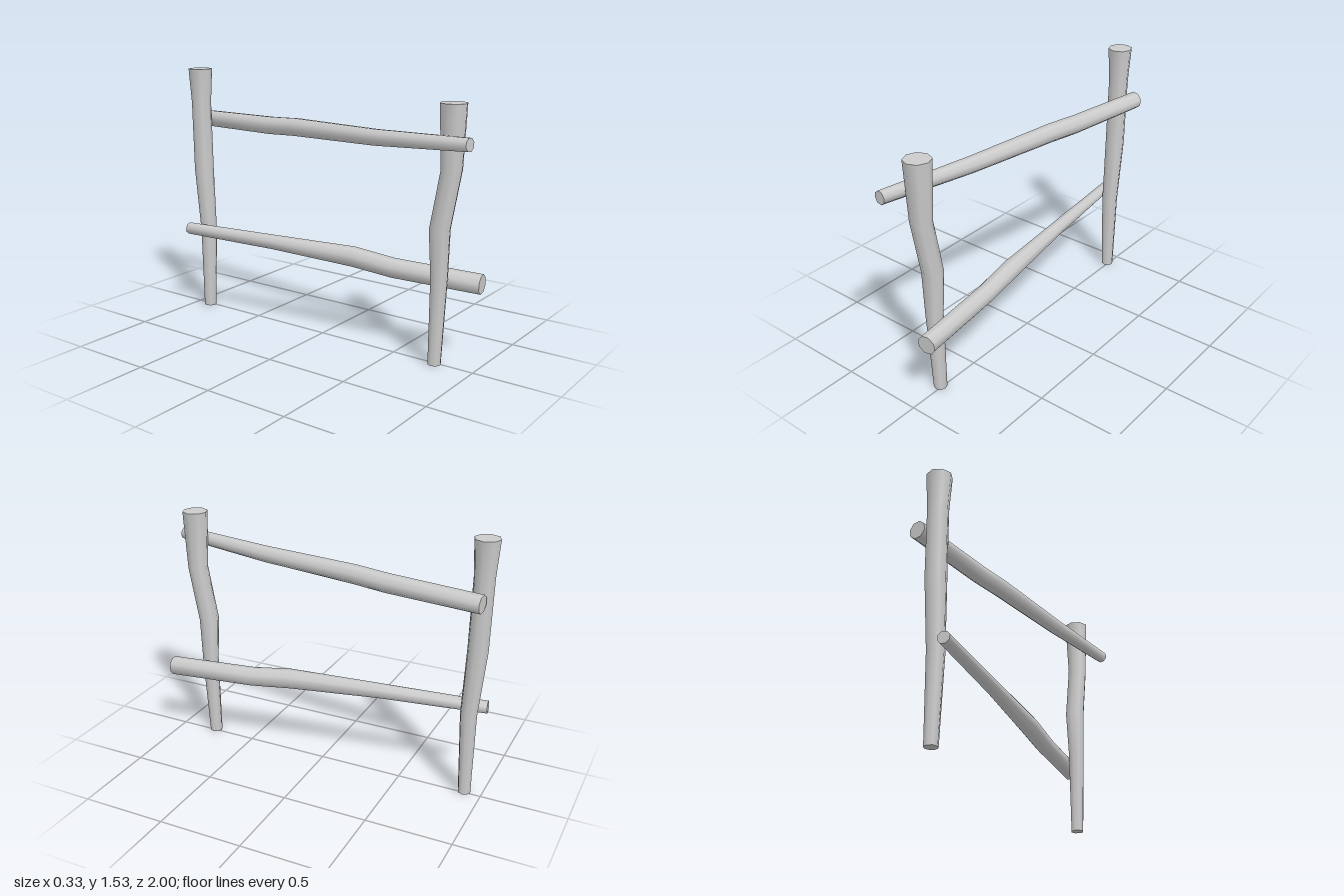
import * as THREE from 'three';
import { toCreasedNormals } from 'three/addons/utils/BufferGeometryUtils.js';

const SIDES = 8;
const UP = new THREE.Vector3(0, 1, 0);

// Crooked pole: rings given as [x, y, z, radius], all square to the pole's overall run
function pole(name, rings, turn, material) {
  const centres = rings.map(([x, y, z]) => new THREE.Vector3(x, y, z));
  const last = rings.length - 1;
  const run = centres[last].clone().sub(centres[0]).normalize();
  const tilt = new THREE.Quaternion().setFromUnitVectors(UP, run);
  const geometry = new THREE.CylinderGeometry(1, 1, last, SIDES, last, false, turn);
  const position = geometry.attributes.position;
  const v = new THREE.Vector3();
  for (let i = 0; i < position.count; i++) {
    v.fromBufferAttribute(position, i);
    const row = Math.round(v.y + last / 2);
    v.y = 0;
    v.multiplyScalar(rings[row][3]).applyQuaternion(tilt).add(centres[row]);
    position.setXYZ(i, v.x, v.y, v.z);
  }
  const mesh = new THREE.Mesh(toCreasedNormals(geometry, 0.9), material);
  mesh.name = name;
  return mesh;
}

// Upright post: rings stay level, so each is given as [y, z, radius]
function post(name, rings, material) {
  const x = -0.012;
  const geometry = new THREE.CylinderGeometry(1, 1, rings.length - 1, SIDES, rings.length - 1);
  const position = geometry.attributes.position;
  for (let i = 0; i < position.count; i++) {
    const [y, z, r] = rings[Math.round(position.getY(i) + (rings.length - 1) / 2)];
    position.setXYZ(i, x + position.getX(i) * r, y, z + position.getZ(i) * r);
  }
  const mesh = new THREE.Mesh(toCreasedNormals(geometry, 0.9), material);
  mesh.name = name;
  return mesh;
}

export function createModel() {
  const group = new THREE.Group();
  group.name = 'poleFence';
  const wood = new THREE.MeshStandardMaterial({ color: 0xcccccc });

  // Uprights, thin at the foot and flared at the top
  group.add(post('frontPost', [
    [0, 0.77, 0.038], [0.5, 0.785, 0.049], [0.77, 0.78, 0.06],
    [1.1, 0.84, 0.06], [1.447, 0.84, 0.075],
  ], wood));
  group.add(post('backPost', [
    [0, -0.9, 0.037], [0.5, -0.893, 0.049], [0.9, -0.919, 0.059],
    [1.32, -0.926, 0.059], [1.527, -0.927, 0.072],
  ], wood));

  // Rails crossing diagonally between the posts
  const half = Math.PI / SIDES;
  group.add(pole('upperRail', [
    [-0.127, 1.26, 0.998, 0.038], [-0.06, 1.232, 0.4, 0.048],
    [0.012, 1.225, -0.2, 0.055], [0.035, 1.214, -0.4, 0.055], [0.094, 1.206, -0.955, 0.052],
  ], half, wood));
  group.add(pole('lowerRail', [
    [0.112, 0.467, 0.98, 0.056], [0.055, 0.478, 0.45, 0.057],
    [0.03, 0.505, 0.2, 0.059], [-0.035, 0.517, -0.35, 0.044], [-0.106, 0.521, -0.975, 0.036],
  ], half, wood));

  return group;
}
